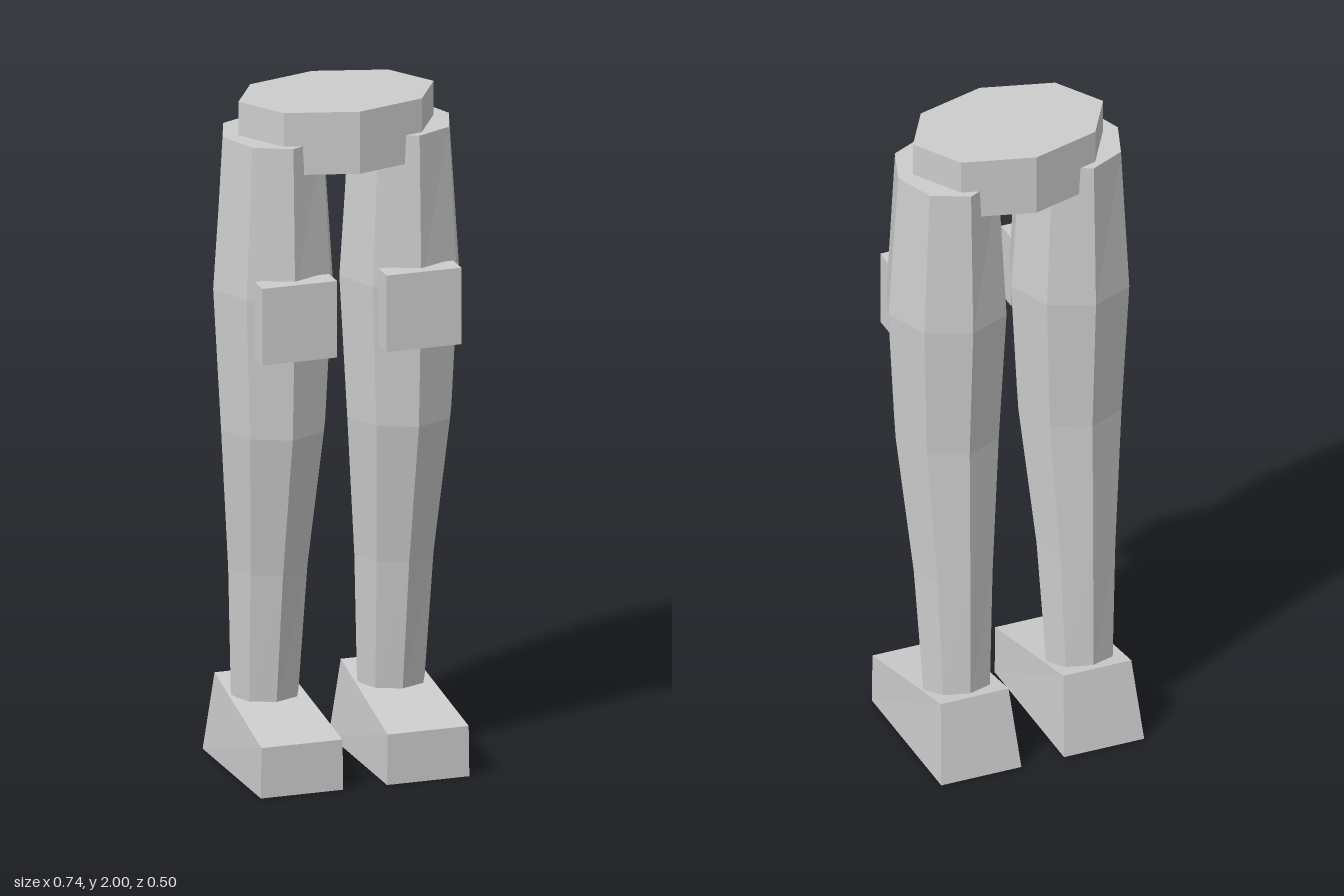
import * as THREE from 'three';

const grey = new THREE.MeshStandardMaterial({ color: 0xcccccc });
grey.name = 'light grey';

// Faceted mesh: split faces so each has its own normal
function facetedMesh(name, geometry) {
  const flat = geometry.toNonIndexed();
  flat.computeVertexNormals();
  const mesh = new THREE.Mesh(flat, grey);
  mesh.name = name;
  return mesh;
}

// Move every vertex of a geometry by a rule
function reshape(geometry, rule) {
  const p = geometry.attributes.position;
  const v = new THREE.Vector3();
  for (let i = 0; i < p.count; i++) {
    rule(v.fromBufferAttribute(p, i));
    p.setXYZ(i, v.x, v.y, v.z);
  }
  return geometry;
}

// Leg rings from hip to ankle: height, centre z, half width, half depth
const LEG_RINGS = [
  [1.9, 0, 0.15, 0.175],
  [1.45, 0, 0.18, 0.19],
  [1.03, 0.002, 0.157, 0.167],
  [0.6, -0.042, 0.12, 0.128],
  [0.21, -0.07, 0.102, 0.102],
];

function legGeometry() {
  const steps = LEG_RINGS.length - 1;
  return reshape(new THREE.CylinderGeometry(1, 1, 1, 8, steps), (v) => {
    const [y, z, halfWidth, halfDepth] = LEG_RINGS[Math.round((0.5 - v.y) * steps)];
    v.set(v.x * halfWidth, y, z + v.z * halfDepth);
  });
}

// Wedge foot: low toe, higher and narrower heel
function footGeometry() {
  return reshape(new THREE.BoxGeometry(2, 2, 2), (v) => {
    const top = v.y > 0;
    const back = v.z < 0;
    const halfWidth = top ? (back ? 0.105 : 0.122) : 0.124;
    const y = top ? (back ? 0.24 : 0.15) : 0;
    const z = back ? (top ? -0.2 : -0.248) : 0.248;
    v.set(v.x * halfWidth, y, z);
  });
}

export function createModel() {
  const model = new THREE.Group();
  model.name = 'legs';

  // Hip block
  const hips = facetedMesh('hips', new THREE.CylinderGeometry(1, 1, 0.185, 8).scale(0.294, 1, 0.203));
  hips.position.y = 1.9075;
  model.add(hips);

  for (const [side, sign] of [['left', 1], ['right', -1]]) {
    const limb = new THREE.Group();
    limb.name = `${side}Limb`;
    limb.position.x = sign * 0.19;

    const kneePad = facetedMesh(`${side}KneePad`, new THREE.BoxGeometry(0.225, 0.228, 0.07));
    kneePad.position.set(sign * -0.003, 1.395, 0.186);

    limb.add(
      facetedMesh(`${side}Leg`, legGeometry()),
      kneePad,
      facetedMesh(`${side}Foot`, footGeometry()),
    );
    model.add(limb);
  }
  return model;
}
